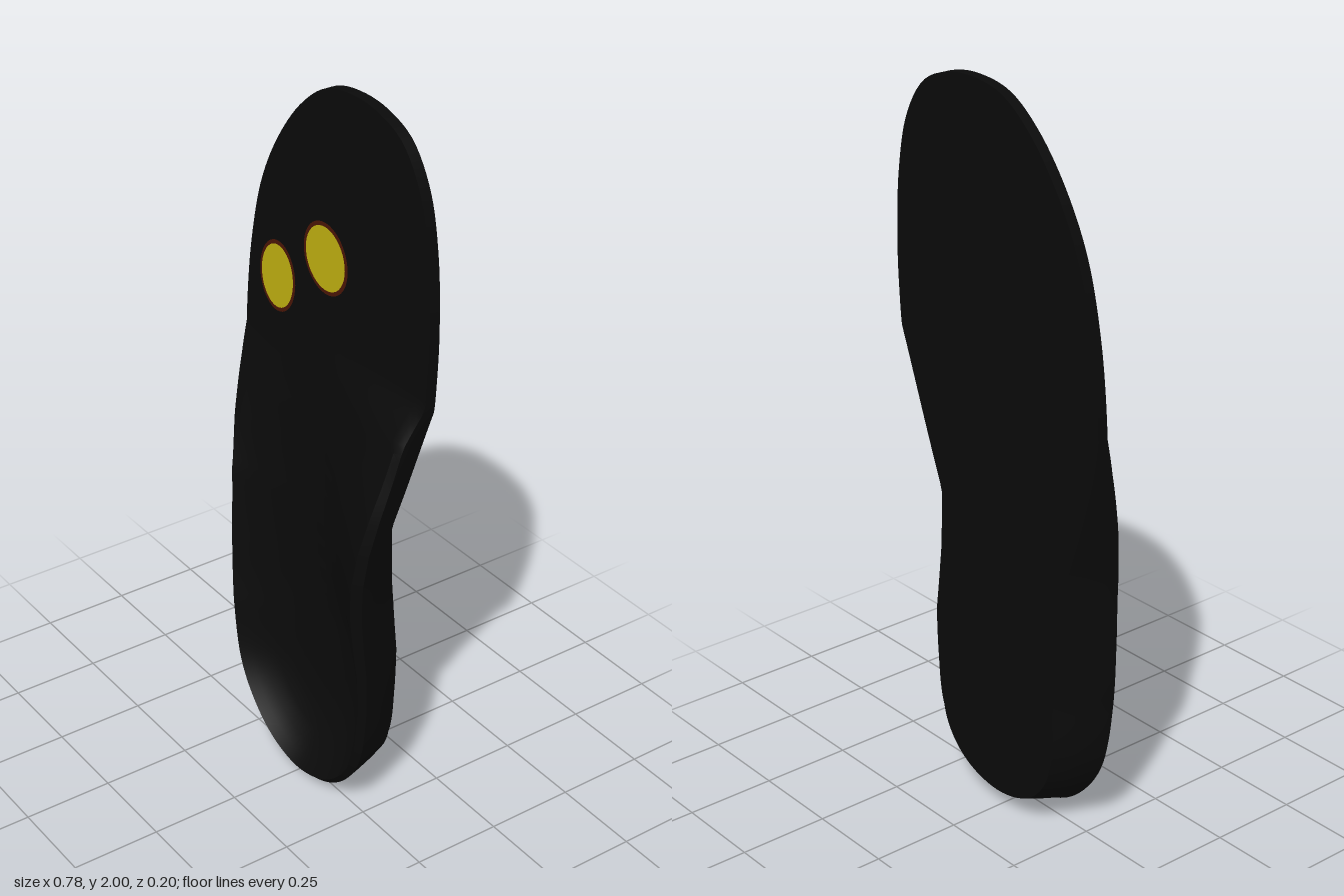
import * as THREE from 'three';
import { toCreasedNormals } from 'three/addons/utils/BufferGeometryUtils.js';

const BACK = -0.1, TOP = -0.07;

// Linear lookup in a short list of [y, value] pairs
function lookup(table, y) {
  if (y <= table[0][0]) return table[0][1];
  for (let i = 1; i < table.length; i++) {
    const [y0, a] = table[i - 1], [y1, b] = table[i];
    if (y <= y1) return a + (b - a) * (y - y0) / (y1 - y0);
  }
  return table[table.length - 1][1];
}

// Foot outline, counter-clockwise from the heel
const OUTLINE = [
  [0, 0], [0.12, 0.03], [0.21, 0.1], [0.27, 0.2], [0.3, 0.37], [0.318, 0.6], [0.335, 0.8],
  [0.355, 1.0], [0.372, 1.2], [0.385, 1.35], [0.39, 1.5], [0.377, 1.7], [0.34, 1.85],
  [0.27, 1.95], [0.18, 1.99], [0.08, 2], [-0.03, 1.98], [-0.13, 1.91], [-0.23, 1.79],
  [-0.31, 1.64], [-0.36, 1.45], [-0.385, 1.25], [-0.39, 1.1], [-0.375, 0.95], [-0.35, 0.78],
  [-0.335, 0.6], [-0.318, 0.42], [-0.28, 0.21], [-0.21, 0.1], [-0.12, 0.03],
];

// Rim height along the arch side and the outer side
const RIM_ARCH = [[0, 0.045], [0.36, 0.048], [0.5, 0.06], [0.6, 0.078], [0.7, 0.094], [0.8, 0.1],
  [0.9, 0.088], [1, 0.06], [1.1, 0.025], [1.2, -0.005], [1.25, -0.04], [1.29, TOP]];
const RIM_OUTER = [[0, 0.045], [0.4, 0.045], [0.6, 0.035], [0.8, 0.02], [0.95, -0.01], [1.1, -0.05], [1.2, TOP]];
// How far the underside is drawn in from the rim
const INSET_ARCH = [[0, 0], [0.2, 0.045], [0.5, 0.06], [0.7, 0.1], [0.86, 0.12], [1.07, 0.06], [1.28, 0]];
const INSET_OUTER = [[0, 0], [0.2, 0.06], [0.4, 0.09], [0.8, 0.07], [1, 0.035], [1.2, 0]];
// Height of the footbed along the middle
const FLOOR = [[0, -0.06], [0.5, -0.06], [0.8, -0.045], [1.05, -0.05], [1.3, TOP]];

function insoleGeometry() {
  const n = 200;
  const curve = new THREE.CatmullRomCurve3(
    OUTLINE.map(([x, y]) => new THREE.Vector3(x, y, 0)), true, 'centripetal');
  const edge = curve.getSpacedPoints(n).slice(0, n);
  const bedSteps = [0.95, 0.88, 0.78, 0.65, 0.5, 0.35, 0.18, 0];
  const ringCount = 5 + bedSteps.length;
  const pos = [], index = [];
  const columns = edge.map(({ x, y }) => {
    const arch = x > 0;
    const rim = lookup(arch ? RIM_ARCH : RIM_OUTER, y);
    const inset = lookup(arch ? INSET_ARCH : INSET_OUTER, y);
    const lift = 0.05 * Math.max(0, 1 - y / 0.3);
    const bx = x - Math.sign(x) * inset, by = y + lift;
    const sy = THREE.MathUtils.clamp(y, 0.32, 1.6);
    const round = 0.15 * (rim - TOP);
    // underside, then side wall
    const col = [
      [0, sy, BACK],
      [bx, by, BACK],
      [bx + (x - bx) * 0.45, by + (y - by) * 0.35, BACK + (rim - BACK) * 0.3],
      [bx + (x - bx) * 0.85, by + (y - by) * 0.7, BACK + (rim - BACK) * 0.65],
      [x, y, rim - round],
    ];
    // cupped footbed, filled more gently over the arch
    const w = arch ? THREE.MathUtils.smoothstep(y, 0.25, 0.7) * Math.min(1, x / 0.2) : 0;
    const power = 3 - 1.8 * w;
    for (const k of bedSteps) {
      const py = sy + (y - sy) * k;
      const floor = lookup(FLOOR, sy);
      col.push([x * k, py, floor + (rim - floor) * Math.pow(k / 0.95, power)]);
    }
    return col;
  });
  for (let i = 0; i < ringCount; i++) for (const col of columns) pos.push(...col[i]);
  for (let i = 0; i < ringCount - 1; i++) {
    for (let j = 0; j < n; j++) {
      const a = i * n + j, b = i * n + (j + 1) % n;
      index.push(a, b, b + n, a, b + n, a + n);
    }
  }
  const g = new THREE.BufferGeometry();
  g.setAttribute('position', new THREE.Float32BufferAttribute(pos, 3));
  g.setIndex(index);
  return toCreasedNormals(g, 0.7);
}

export function createModel() {
  const group = new THREE.Group();
  group.name = 'insole';

  const add = (name, geometry, color) => {
    const mesh = new THREE.Mesh(geometry, new THREE.MeshStandardMaterial({ color }));
    mesh.name = name;
    group.add(mesh);
    return mesh;
  };

  add('insoleBody', insoleGeometry(), 0x0a0a0a);

  // Yellow pressure spots with a dark red border
  const spots = [
    ['innerSpot', -0.03, 1.53, 0.088, 0.092, 0],
    ['outerSpot', -0.24, 1.395, 0.074, 0.096, -0.15],
  ];
  for (const [name, x, y, rx, ry, turn] of spots) {
    const layers = [['Border', 1.06, 0.0015, 0x4a1606], ['', 0.94, 0.0025, 0xc0b010]];
    for (const [suffix, size, lift, color] of layers) {
      const spot = add(name + suffix, new THREE.CircleGeometry(1, 40), color);
      spot.scale.set(rx * size, ry * size, 1);
      spot.rotation.z = turn;
      spot.position.set(x, y, TOP + lift);
    }
  }
  return group;
}
